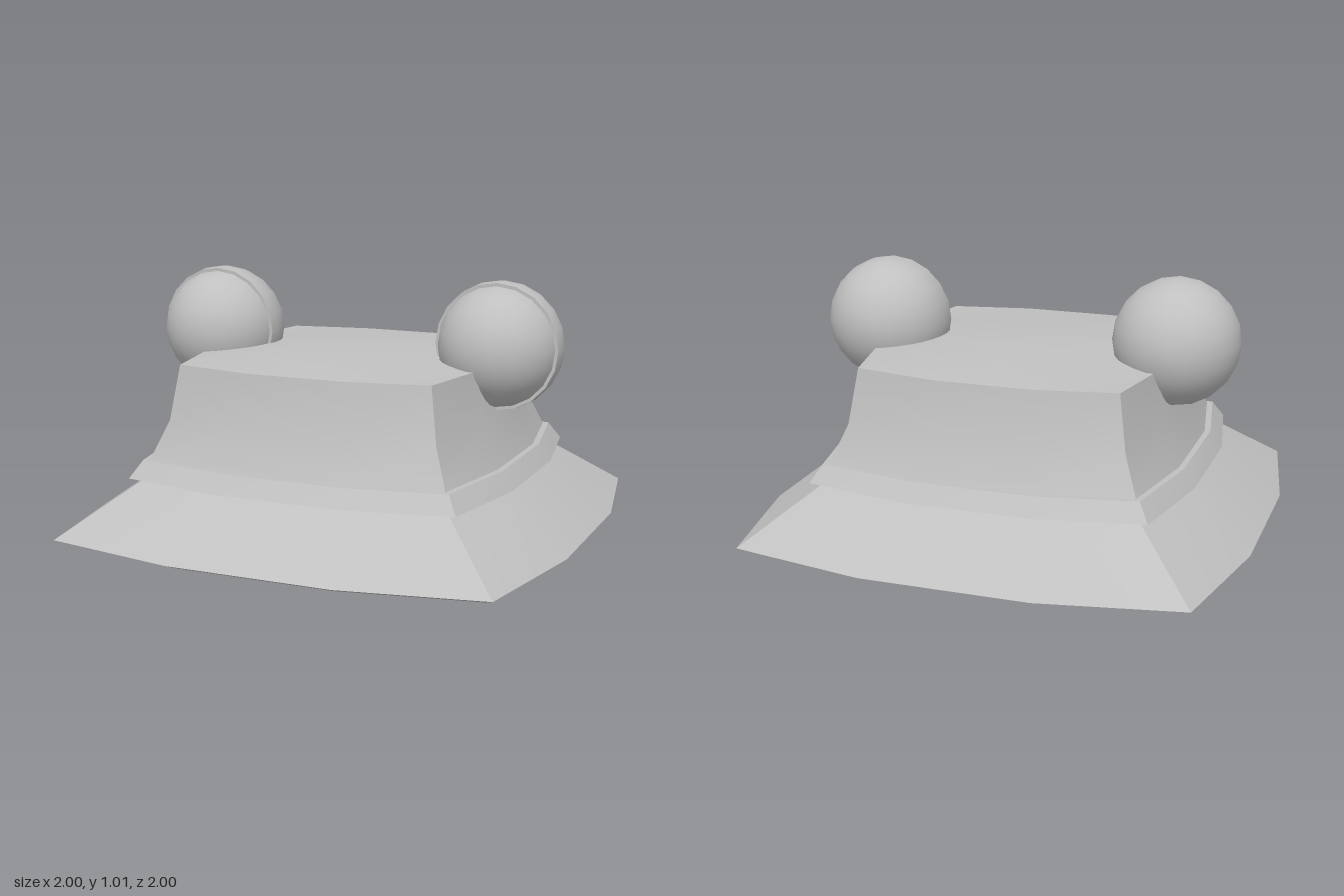
import * as THREE from 'three';
import { toCreasedNormals } from 'three/addons/utils/BufferGeometryUtils.js';

const CORNER = 0.895; // corner coordinate relative to the side distance
const MID = 0.337; // half-width of each side's flat middle
const CREASE = 0.45;

// Twelve-point pillowed square, e = distance from axis to side
function ring(e, y) {
  const pts = [];
  for (let s = 0; s < 4; s++) {
    const a = (s * Math.PI) / 2, c = Math.cos(a), n = Math.sin(a);
    for (const [u, v] of [[CORNER, -CORNER], [1, -MID], [1, MID]]) {
      pts.push([e * (u * c - v * n), y, e * (u * n + v * c)]);
    }
  }
  return pts;
}

// Skin a profile of [side distance, height] pairs
function loft(profile) {
  const rings = profile.map(([e, y]) => ring(e, y));
  const pos = [];
  for (let i = 0; i < rings.length - 1; i++) {
    for (let k = 0; k < 12; k++) {
      const n = (k + 1) % 12;
      const a = rings[i][k], b = rings[i][n], c = rings[i + 1][k], d = rings[i + 1][n];
      pos.push(...a, ...c, ...b, ...b, ...c, ...d);
    }
  }
  const g = new THREE.BufferGeometry();
  g.setAttribute('position', new THREE.Float32BufferAttribute(pos, 3));
  return toCreasedNormals(g, CREASE);
}

// 3x3 domed panel fitting the same twelve-point outline
function panel(e, y, rise, facingDown) {
  const g = new THREE.PlaneGeometry(2, 2, 3, 3);
  g.rotateX(facingDown ? Math.PI / 2 : -Math.PI / 2);
  const p = g.attributes.position;
  for (let i = 0; i < p.count; i++) {
    const x = p.getX(i), z = p.getZ(i);
    const ox = Math.abs(x) > 0.9, oz = Math.abs(z) > 0.9;
    const fit = (outer, other) => (outer ? (other ? CORNER : 1) : MID);
    p.setXYZ(i, Math.sign(x) * e * fit(ox, oz), ox || oz ? y : y + rise, Math.sign(z) * e * fit(oz, ox));
  }
  g.computeVertexNormals();
  return g;
}

export function createModel() {
  const model = new THREE.Group();
  const grey = new THREE.MeshStandardMaterial({ color: 0xc0c0c0 });
  grey.name = 'plain grey';

  const add = (parent, name, geometry) => {
    const mesh = new THREE.Mesh(geometry, grey);
    mesh.name = name;
    parent.add(mesh);
    return mesh;
  };

  // Hat shell
  const hat = new THREE.Group();
  hat.name = 'hat';
  model.add(hat);
  add(hat, 'brim', loft([[0.95, 0], [1, 0.022], [0.7, 0.24]]));
  add(hat, 'band', loft([[0.7, 0.24], [0.76, 0.24], [0.713, 0.31], [0.69, 0.31]]));
  add(hat, 'crown', loft([[0.69, 0.31], [0.625, 0.46], [0.588, 0.68]]));
  add(hat, 'crownTop', panel(0.588, 0.68, 0.035, false));

  // Hollow inside
  add(hat, 'lining', loft([[0.55, 0.65], [0.59, 0.45], [0.65, 0.28], [0.69, 0.2], [0.95, 0]]));
  add(hat, 'liningTop', panel(0.55, 0.65, 0.03, true));

  // Lid profile: rear part of a sphere with a flat rim at the front
  const lidRadius = 0.256, rimAngle = 1.75;
  const lidProfile = [];
  for (let i = 0; i <= 9; i++) {
    const a = (i / 9) * rimAngle;
    lidProfile.push(new THREE.Vector2(lidRadius * Math.sin(a), -lidRadius * Math.cos(a)));
  }
  lidProfile.push(new THREE.Vector2(0.23, 0.045));
  const lid = toCreasedNormals(new THREE.LatheGeometry(lidProfile, 20).rotateX(Math.PI / 2), 0.7);
  const ball = new THREE.SphereGeometry(0.244, 20, 14).rotateX(Math.PI / 2);

  // Pair of eyes sitting on the crown's side edges
  for (const [side, name] of [[1, 'leftEye'], [-1, 'rightEye']]) {
    const eye = new THREE.Group();
    eye.name = name;
    eye.position.set(side * 0.613, 0.752, 0);
    add(eye, 'eyeball', ball);
    add(eye, 'eyelid', lid);
    model.add(eye);
  }
  return model;
}
